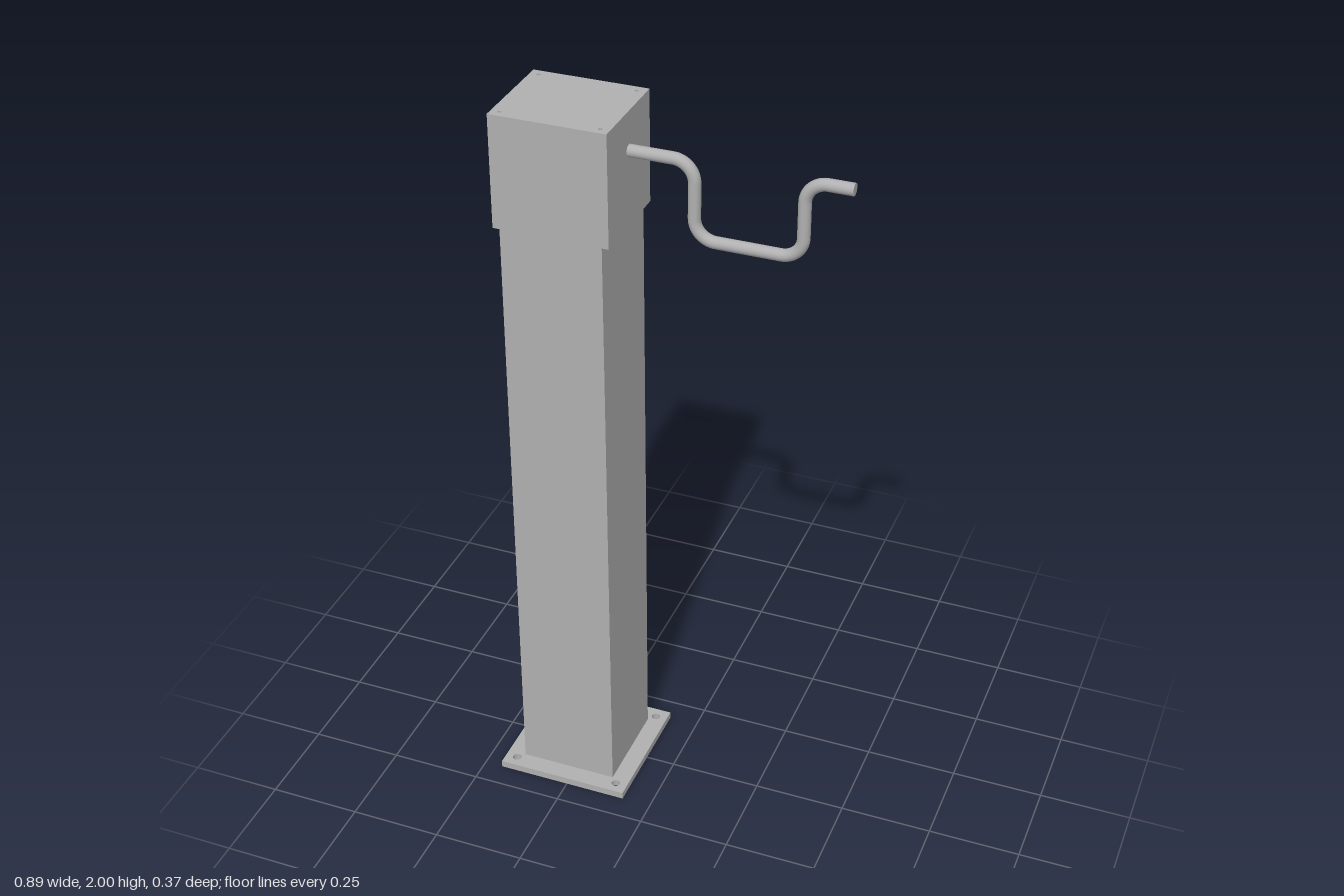
import * as THREE from 'three';

const steel = new THREE.MeshStandardMaterial({ color: 0xb0b0b0 });
steel.name = 'grey steel';

export function createModel() {
  const group = new THREE.Group();
  const CX = -0.265; // axis of the post

  const add = (name, geometry, x, y, z) => {
    const mesh = new THREE.Mesh(geometry, steel);
    mesh.name = name;
    mesh.position.set(x, y, z);
    group.add(mesh);
    return mesh;
  };

  // Flat rectangular plate lying on y, with four round corner holes
  const plate = (name, w, d, h, hx, hz, r, y) => {
    const s = new THREE.Shape();
    s.moveTo(-w / 2, -d / 2).lineTo(w / 2, -d / 2).lineTo(w / 2, d / 2).lineTo(-w / 2, d / 2).closePath();
    for (const sx of [-1, 1]) for (const sz of [-1, 1]) {
      s.holes.push(new THREE.Path().absarc(sx * hx, sz * hz, r, 0, Math.PI * 2, true));
    }
    const g = new THREE.ExtrudeGeometry(s, { depth: h, bevelEnabled: false, curveSegments: 24 });
    g.rotateX(-Math.PI / 2);
    return add(name, g, CX, y, 0);
  };

  // Post
  plate('basePlate', 0.368, 0.367, 0.02, 0.151, 0.152, 0.012, 0);
  add('column', new THREE.BoxGeometry(0.267, 1.68, 0.266), CX, 0.86, 0);
  add('headBox', new THREE.BoxGeometry(0.303, 0.29, 0.267), CX, 1.845, 0);
  plate('headLid', 0.303, 0.267, 0.01, 0.128, 0.112, 0.005, 1.99);

  // Bent crank rod: straight runs joined by rounded corners
  const corners = [[-0.125, 1.899], [0.053, 1.899], [0.053, 1.695], [0.327, 1.695], [0.327, 1.899], [0.446, 1.899]]
    .map(([x, y]) => new THREE.Vector3(x, y, 0));
  const bend = 0.055;
  const path = new THREE.CurvePath();
  let from = corners[0];
  for (let i = 1; i < corners.length - 1; i++) {
    const c = corners[i];
    const toPrev = corners[i - 1].clone().sub(c).normalize();
    const toNext = corners[i + 1].clone().sub(c).normalize();
    const a = c.clone().addScaledVector(toPrev, bend);
    const b = c.clone().addScaledVector(toNext, bend);
    const k = bend * 0.448;
    path.add(new THREE.LineCurve3(from, a));
    path.add(new THREE.CubicBezierCurve3(a, c.clone().addScaledVector(toPrev, k), c.clone().addScaledVector(toNext, k), b));
    from = b;
  }
  const end = corners[corners.length - 1];
  path.add(new THREE.LineCurve3(from, end));
  const R = 0.016;
  add('crankRod', new THREE.TubeGeometry(path, 160, R, 20, false), 0, 0, 0);
  const cap = add('crankEndCap', new THREE.CircleGeometry(R, 20), end.x, end.y, 0);
  cap.rotation.y = Math.PI / 2;

  return group;
}
